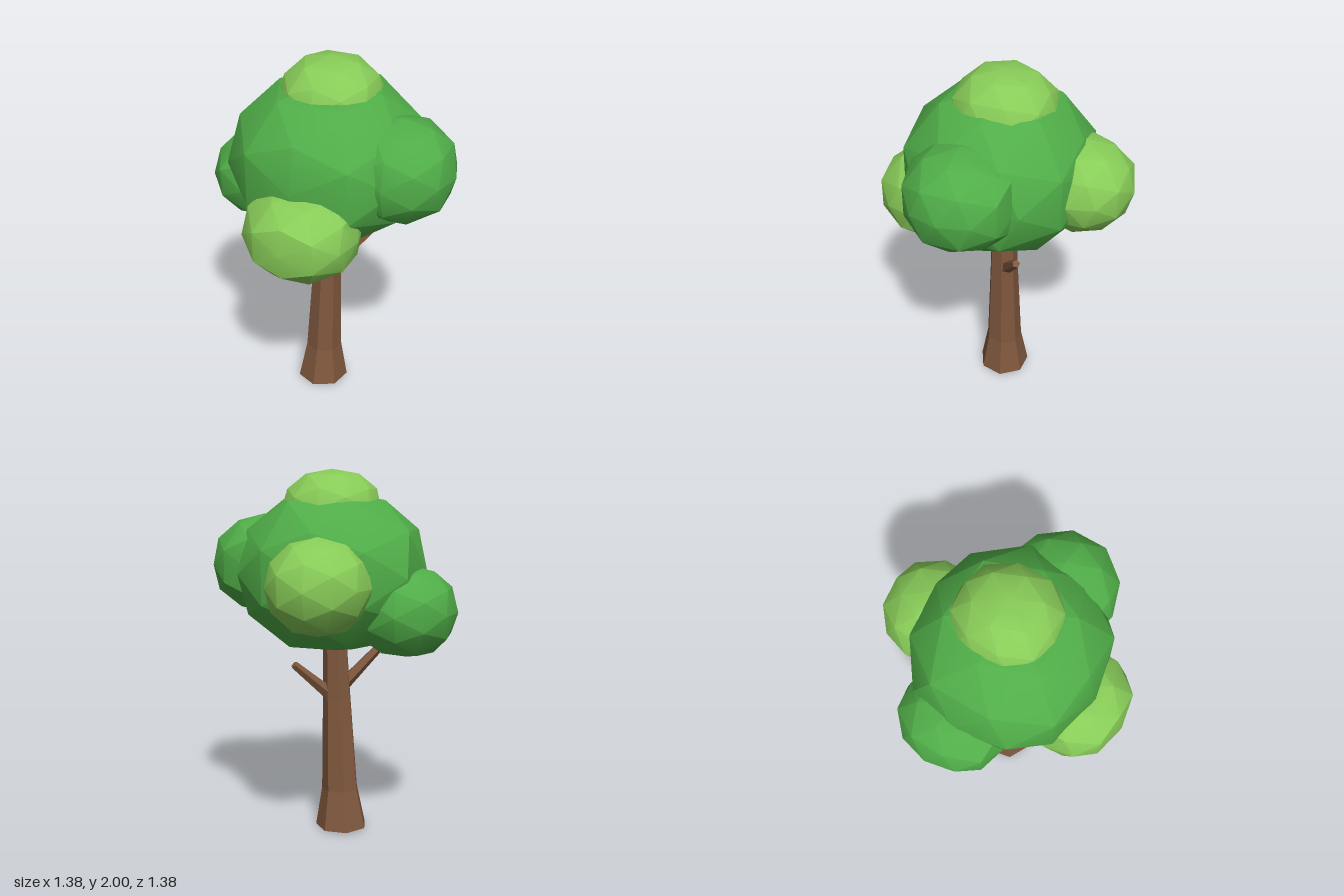
import * as THREE from 'three';
import { toCreasedNormals } from 'three/addons/utils/BufferGeometryUtils.js';

const bark = new THREE.MeshStandardMaterial({ color: 0x80583e, flatShading: true });
const darkLeaf = new THREE.MeshStandardMaterial({ color: 0x50ad48 });
const lightLeaf = new THREE.MeshStandardMaterial({ color: 0x88cc58 });

// Low-poly ball fitted between two corners; fullness above 2 makes it boxier
function leafClump(name, material, min, max, fullness, seed) {
  const geo = new THREE.IcosahedronGeometry(1, 1);
  const pos = geo.attributes.position;
  const v = new THREE.Vector3();
  for (let i = 0; i < pos.count; i++) {
    v.fromBufferAttribute(pos, i);
    const norm = [v.x, v.y, v.z].reduce((sum, c) => sum + Math.abs(c) ** fullness, 0);
    const bump = Math.sin(v.x * 5 + seed) + Math.sin(v.y * 6 + seed * 2) + Math.sin(v.z * 5.5 + seed * 3);
    v.multiplyScalar(norm ** (-1 / fullness) * (1 + 0.01 * bump));
    pos.setXYZ(i, v.x, v.y, v.z);
  }
  geo.computeBoundingBox();
  const size = geo.boundingBox.getSize(new THREE.Vector3());
  const mid = geo.boundingBox.getCenter(new THREE.Vector3());
  const lo = new THREE.Vector3(...min), hi = new THREE.Vector3(...max);
  const scale = hi.clone().sub(lo).divide(size);
  geo.translate(-mid.x, -mid.y, -mid.z);
  geo.scale(scale.x, scale.y, scale.z);
  const mesh = new THREE.Mesh(toCreasedNormals(geo, 0.5), material);
  mesh.name = name;
  mesh.position.copy(lo).add(hi).multiplyScalar(0.5);
  return mesh;
}

// Tapered stick between two points
function branch(name, from, to) {
  const a = new THREE.Vector3(...from), b = new THREE.Vector3(...to);
  const dir = b.clone().sub(a);
  const mesh = new THREE.Mesh(new THREE.CylinderGeometry(0.022, 0.038, dir.length(), 5), bark);
  mesh.name = name;
  mesh.position.copy(a).add(b).multiplyScalar(0.5);
  mesh.quaternion.setFromUnitVectors(new THREE.Vector3(0, 1, 0), dir.normalize());
  return mesh;
}

// Seven-sided trunk, flared at the foot and leaning slightly to +x
function trunk() {
  const profile = [[0, 0], [0.145, 0.008], [0.103, 0.23], [0.08, 0.75], [0.065, 1.15], [0, 1.15]];
  const geo = new THREE.LatheGeometry(profile.map(([r, y]) => new THREE.Vector2(r, y)), 7);
  const pos = geo.attributes.position;
  for (let i = 0; i < pos.count; i++) {
    const y = pos.getY(i);
    pos.setX(i, pos.getX(i) - 0.05 + 0.032 * y);
    pos.setZ(i, pos.getZ(i) + 0.024 - 0.012 * y);
  }
  const mesh = new THREE.Mesh(geo, bark);
  mesh.name = 'trunk';
  return mesh;
}

export function createModel() {
  const tree = new THREE.Group();
  tree.name = 'tree';
  tree.add(
    trunk(),
    branch('rightBranch', [-0.05, 0.82, 0.04], [-0.285, 1.085, 0.17]),
    branch('leftBranch', [0.0, 0.77, -0.01], [0.175, 0.96, -0.14]),
    // Foliage
    leafClump('mainFoliage', darkLeaf, [-0.52, 1.02, -0.48], [0.5, 1.89, 0.515], 2.5, 1),
    leafClump('leftFoliage', darkLeaf, [0.12, 1.21, -0.24], [0.69, 1.76, 0.36], 2.15, 2.3),
    leafClump('rightFoliage', darkLeaf, [-0.695, 1.02, -0.35], [-0.13, 1.51, 0.25], 2.15, 3.1),
    leafClump('topFoliage', lightLeaf, [-0.27, 1.58, -0.28], [0.27, 2, 0.27], 2.15, 4.2),
    leafClump('frontFoliage', lightLeaf, [-0.29, 0.97, 0.12], [0.31, 1.46, 0.685], 2.15, 5.4),
    leafClump('backFoliage', lightLeaf, [-0.32, 1.17, -0.69], [0.23, 1.67, -0.15], 2.15, 6.5)
  );
  return tree;
}
